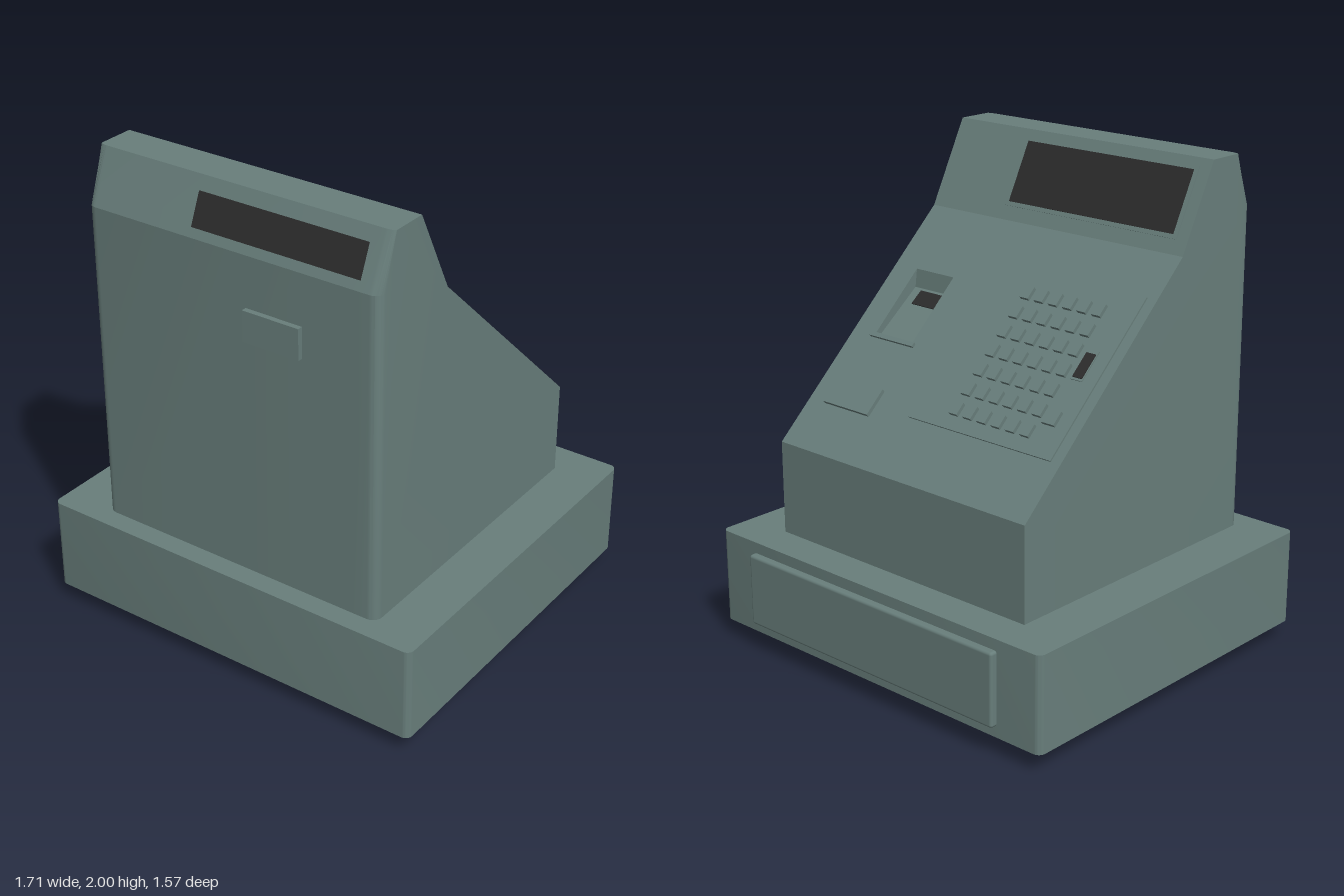
import * as THREE from 'three';
import { toCreasedNormals } from 'three/addons/utils/BufferGeometryUtils.js';
import { RoundedBoxGeometry } from 'three/addons/geometries/RoundedBoxGeometry.js';

export function createModel() {
  const root = new THREE.Group();
  root.name = 'cashRegister';
  const casing = new THREE.MeshStandardMaterial({ color: 0x687e7b });
  casing.name = 'casing grey green';
  const dark = new THREE.MeshStandardMaterial({ color: 0x2c2c2c });
  dark.name = 'dark glass';

  const add = (name, geo, mat = casing, parent = root) => {
    const m = new THREE.Mesh(geo, mat);
    m.name = name;
    parent.add(m);
    return m;
  };
  // box given by its limits
  const box = (name, x0, x1, y0, y1, z0, z1, mat, parent) => {
    const m = add(name, new THREE.BoxGeometry(x1 - x0, y1 - y0, z1 - z0), mat, parent);
    m.position.set((x0 + x1) / 2, (y0 + y1) / 2, (z0 + z1) / 2);
    return m;
  };

  // sloping faces: y = y0 + slope * (z - z0)
  const keySlope = { z: 0.275, y: 1.66, m: 0.81 / 0.875 };
  const screenSlope = { z: 0.275, y: 1.66, m: 0.34 / 0.175 };
  const frontSlope = { z: 0.7, y: 1.79, m: -0.21 / 0.09 };
  const heightAt = (s, z) => s.y + s.m * (z - s.z);
  // plate lying on a sloping face, raised by h and sunk slightly into it
  const plate = (name, s, x0, x1, z0, z1, h, mat = casing, parent = root, sink = 0.003) => {
    const a = Math.atan2(-s.m, 1), zc = (z0 + z1) / 2, lift = (h - sink) / 2;
    const m = add(name, new THREE.BoxGeometry(x1 - x0, h + sink, (z1 - z0) / Math.cos(a)), mat, parent);
    m.rotation.x = a;
    m.position.set((x0 + x1) / 2, heightAt(s, zc) + lift * Math.cos(a), zc + lift * Math.sin(a));
    return m;
  };

  // base with rounded upright corners
  const X = 0.855, zf = 0.785, zb = -0.755, r = 0.03;
  const foot = new THREE.Shape();
  foot.absarc(X - r, -zb - r, r, 0, Math.PI / 2);
  foot.absarc(-X + r, -zb - r, r, Math.PI / 2, Math.PI);
  foot.absarc(-X + r, -zf + r, r, Math.PI, Math.PI * 1.5);
  foot.absarc(X - r, -zf + r, r, Math.PI * 1.5, Math.PI * 2);
  const baseGeo = new THREE.ExtrudeGeometry(foot, { depth: 0.39, bevelEnabled: false, curveSegments: 5 });
  baseGeo.rotateX(-Math.PI / 2).translate(0, 0.075, 0);
  add('drawerBase', toCreasedNormals(baseGeo, 0.5));

  // feet
  for (const sx of [-1, 1]) for (const z of [0.62, -0.575])
    box('foot', sx * 0.697 - 0.055, sx * 0.697 + 0.055, 0, 0.08, z - 0.06, z + 0.06);

  // cash drawer face
  const drawer = add('drawerFace', new RoundedBoxGeometry(1.31, 0.3, 0.04, 2, 0.012));
  drawer.position.set(0.005, 0.27, -0.765);

  // housing: side profiles joined across x, with a sunken printer bay between two of them
  const profile = (inset, bay) => {
    const pts = [[0.7 - inset, 0.465], [0.7 - inset, 1.79], [0.61 - inset * 0.25, 2], [0.45, 2], [0.275, 1.66]];
    for (const [z, d] of [[0.05, 0], [0.04, 0.065], [-0.165, 0.035], [-0.19, 0]])
      pts.push([z, heightAt(keySlope, z) - (bay ? d : 0)]);
    pts.push([-0.6, 0.85], [-0.6, 0.465]);
    return pts;
  };
  const xl = -0.642, xr = 0.65, round = 0.04, bay0 = 0.325, bay1 = 0.53, stations = [];
  for (let i = 0; i <= 6; i++) {
    const t = (i / 6) * Math.PI / 2;
    stations.push([xl + round * (1 - Math.cos(t)), profile(round * (1 - Math.sin(t)), false)]);
  }
  const rightEnd = stations.map(([x, p]) => [xl + xr - x, p]).reverse();
  stations.push([bay0, profile(0, false)], [bay0, profile(0, true)], [bay1, profile(0, true)], [bay1, profile(0, false)]);
  stations.push(...rightEnd);
  const pos = [], idx = [], n = stations[0][1].length;
  for (const [x, p] of stations) for (const [z, y] of p) pos.push(x, y, z);
  for (let j = 0; j < stations.length - 1; j++)
    for (let i = 0; i < n; i++) {
      const k = (i + 1) % n, a = j * n, b = a + n;
      idx.push(a + i, b + i, b + k, a + i, b + k, a + k);
    }
  const endPts = stations[0][1].map(([z, y]) => new THREE.Vector2(z, y));
  const last = (stations.length - 1) * n;
  for (const [a, b, c] of THREE.ShapeUtils.triangulateShape(endPts, []))
    idx.push(a, b, c, last + a, last + c, last + b);
  const bodyGeo = new THREE.BufferGeometry();
  bodyGeo.setAttribute('position', new THREE.Float32BufferAttribute(pos, 3));
  bodyGeo.setIndex(idx);
  add('housing', toCreasedNormals(bodyGeo, 0.3));

  // customer side: window and small plate
  plate('customerDisplay', frontSlope, -0.16, 0.565, 0.633, 0.685, 0.004, dark);
  box('rearPlate', 0.085, 0.33, 1.46, 1.585, 0.69, 0.722);

  // operator display
  plate('displayFrame', screenSlope, -0.59, 0.275, 0.302, 0.435, 0.003);
  plate('operatorDisplay', screenSlope, -0.57, 0.258, 0.31, 0.427, 0.006, dark);

  // keyboard
  const keyboard = new THREE.Group();
  keyboard.name = 'keyboard';
  root.add(keyboard);
  plate('keyPanel', keySlope, -0.597, 0.122, -0.41, 0.128, 0.007, casing, keyboard);
  for (let c = 0; c < 6; c++) for (let q = 0; q < 7; q++) {
    const x = -0.437 + c * 0.0715, z = -0.347 + q * 0.0665;
    plate('key', keySlope, x - 0.021, x + 0.021, z - 0.02, z + 0.02, 0.022, casing, keyboard);
  }
  plate('wideKey', keySlope, -0.537, -0.477, -0.315, -0.27, 0.022, casing, keyboard);
  plate('lockFrame', keySlope, -0.538, -0.483, -0.167, -0.068, 0.011, casing, keyboard);
  plate('lockSwitch', keySlope, -0.533, -0.488, -0.16, -0.08, 0.015, dark, keyboard);

  // printer bay: lower lip and paper slot on its floor
  plate('printerLip', keySlope, 0.305, 0.545, -0.202, -0.188, 0.012);
  const floor = { z: 0.04, y: heightAt(keySlope, 0.04) - 0.065, m: 0 };
  floor.m = (floor.y - heightAt(keySlope, -0.165) + 0.035) / 0.205;
  plate('paperSlot', floor, 0.365, 0.487, -0.025, 0.03, 0.004, dark);

  // raised plate by the printer
  plate('receiptPlate', keySlope, 0.31, 0.558, -0.445, -0.357, 0.016);

  return root;
}
